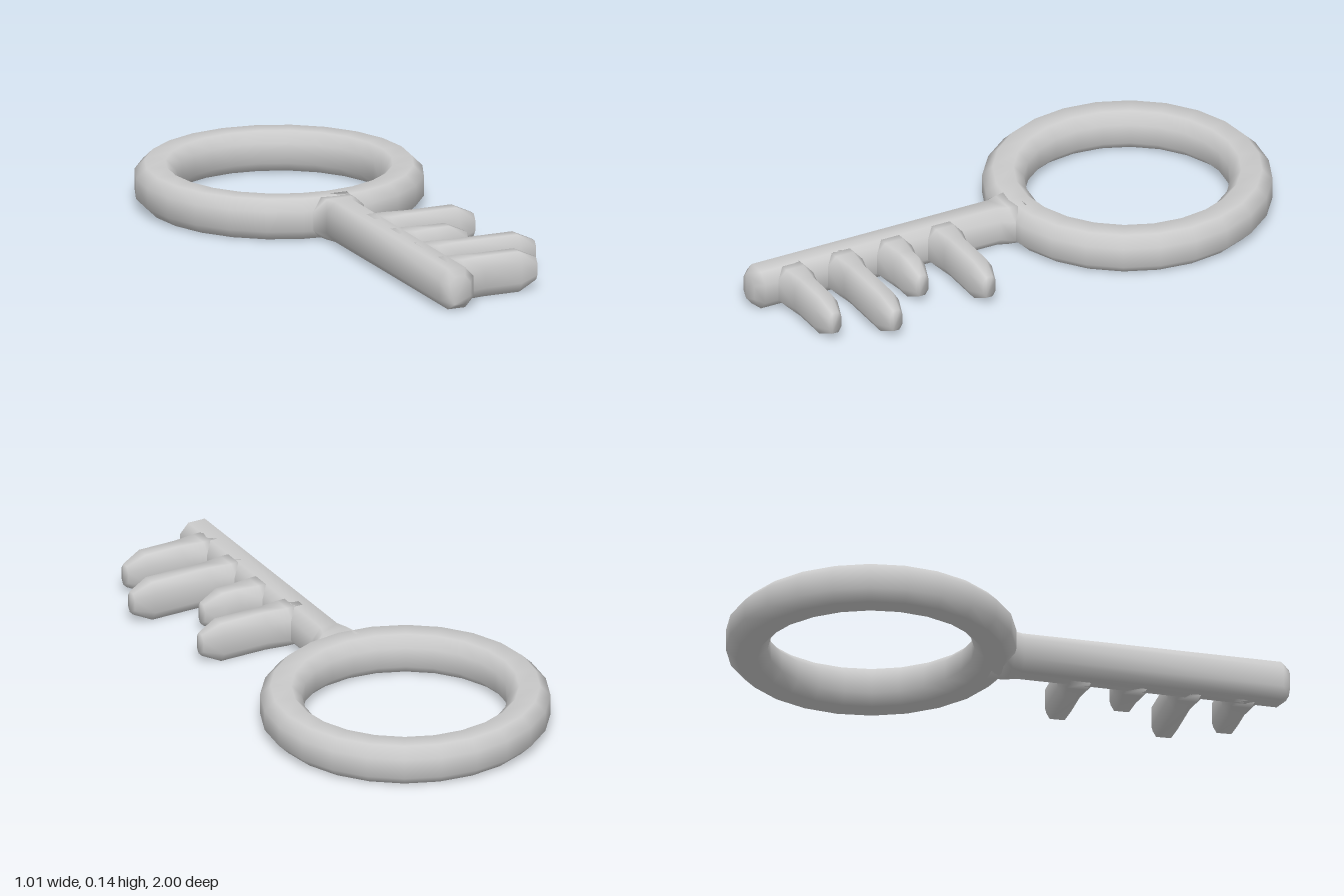
import * as THREE from 'three';
import { mergeVertices } from 'three/addons/utils/BufferGeometryUtils.js';

const MID = 0.0725; // half thickness, also the height of the centre plane
const material = new THREE.MeshStandardMaterial({ color: 0xcccccc });

// Chamfered rectangle as eight corners, counter-clockwise
function octagon(w, h) {
  const a = w * 0.5, b = h * 0.5;
  return [[-a, -h], [a, -h], [w, -b], [w, b], [a, h], [-a, h], [-w, b], [-w, -b]];
}

// Closed octagonal bar along +z through sections [z, halfWidth, halfHeight]
function loft(sections) {
  const positions = [], index = [], last = (sections.length - 1) * 8;
  for (const [z, w, h] of sections) {
    for (const [x, y] of octagon(w, h)) positions.push(x, y, z);
  }
  for (let s = 0; s < last; s += 8) {
    for (let j = 0; j < 8; j++) {
      const k = (j + 1) % 8;
      index.push(s + j, s + k, s + k + 8, s + j, s + k + 8, s + j + 8);
    }
  }
  for (let j = 1; j < 7; j++) {
    index.push(0, j + 1, j, last, last + j, last + j + 1);
  }
  const geometry = new THREE.BufferGeometry();
  geometry.setAttribute('position', new THREE.Float32BufferAttribute(positions, 3));
  geometry.setIndex(index);
  geometry.computeVertexNormals();
  return geometry;
}

function addPart(group, name, geometry, x, z) {
  const mesh = new THREE.Mesh(geometry, material);
  mesh.name = name;
  mesh.position.set(x, MID, z);
  group.add(mesh);
  return mesh;
}

export function createModel() {
  const group = new THREE.Group();
  group.name = 'key';

  // Round bow with an octagonal section
  const profile = octagon(MID, MID).map(([x, y]) => new THREE.Vector2(0.4325 + x, y));
  profile.push(profile[0].clone());
  let ring = new THREE.LatheGeometry(profile, 24);
  ring.deleteAttribute('uv');
  ring.deleteAttribute('normal');
  ring = mergeVertices(ring);
  ring.computeVertexNormals();
  addPart(group, 'bow', ring, 0, -0.495);

  // Shaft, flared where it joins the bow and chamfered at the tip
  addPart(group, 'shaft', loft([
    [-0.065, 0.12, MID], [0, 0.095, MID], [0.04, 0.066, MID],
    [0.97, 0.066, MID], [1, 0.04, 0.05],
  ]), 0, 0);

  // Teeth on the left side, each with a flared root and tapered tip: [z, reach]
  [[0.26, 0.39], [0.46, 0.27], [0.655, 0.44], [0.85, 0.355]].forEach(([z, reach], i) => {
    const tooth = loft([
      [0, 0.072, MID], [0.062, 0.07, MID], [0.145, 0.047, MID],
      [reach - 0.07, 0.047, MID], [reach, 0.024, 0.04],
    ]);
    addPart(group, `tooth${i + 1}`, tooth, 0, z).rotation.y = Math.PI / 2;
  });

  return group;
}
